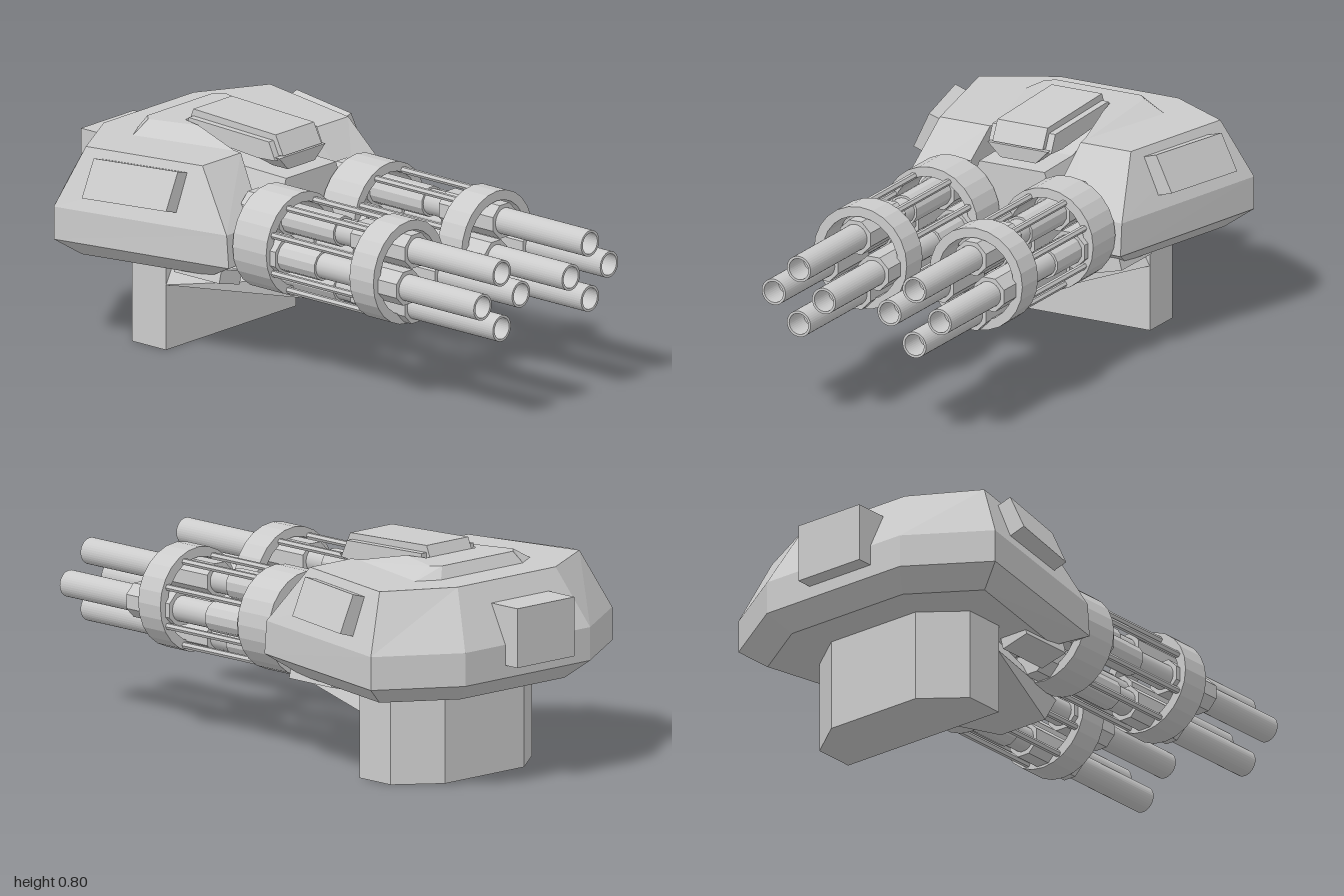
import * as THREE from 'three';

const flat = new THREE.MeshStandardMaterial({ color: 0xcccccc, flatShading: true });
const smooth = new THREE.MeshStandardMaterial({ color: 0xcccccc });

function add(parent, name, geometry, material = flat) {
  const mesh = new THREE.Mesh(geometry, material);
  mesh.name = name;
  parent.add(mesh);
  return mesh;
}

// Area vector of a closed ring of points
function ringNormal(ring) {
  const n = new THREE.Vector3();
  ring.forEach((p, i) => n.add(p.clone().cross(ring[(i + 1) % ring.length])));
  return n;
}

// Closed solid through rings of equal length, capped at both ends
function loft(rings) {
  const r = rings.map(ring => ring.map(p => new THREE.Vector3(...p)));
  const mid = ring => ring.reduce((s, p) => s.add(p), new THREE.Vector3()).divideScalar(ring.length);
  const dir = mid(r[r.length - 1]).sub(mid(r[0]));
  if (ringNormal(r[0]).dot(dir) < 0) r.forEach(ring => ring.reverse());
  const pos = [];
  const tri = (...ps) => ps.forEach(p => pos.push(p.x, p.y, p.z));
  for (let k = 0; k < r.length - 1; k++) {
    const a = r[k], b = r[k + 1];
    a.forEach((p, i) => {
      const j = (i + 1) % a.length;
      tri(p, a[j], b[j]);
      tri(p, b[j], b[i]);
    });
  }
  [[r[0], -1], [r[r.length - 1], 1]].forEach(([ring, side]) => {
    const n = ringNormal(ring).multiplyScalar(side);
    const ax = Math.abs(n.x), ay = Math.abs(n.y), az = Math.abs(n.z);
    const [u, v] = ay >= ax && ay >= az ? ['x', 'z'] : ax >= az ? ['y', 'z'] : ['x', 'y'];
    const faces = THREE.ShapeUtils.triangulateShape(ring.map(p => new THREE.Vector2(p[u], p[v])), []);
    faces.forEach(([a, b, c]) => {
      const t = [ring[a], ring[b], ring[c]];
      if (ringNormal(t).dot(n) < 0) t.reverse();
      tri(...t);
    });
  });
  const g = new THREE.BufferGeometry();
  g.setAttribute('position', new THREE.Float32BufferAttribute(pos, 3));
  g.computeVertexNormals();
  return g;
}

// Horizontal outline at height y, mirrored from its +x half
const outline = (y, half) => [
  ...half.map(([x, z]) => [x, y, z]),
  ...half.map(([x, z]) => [-x, y, z]).reverse(),
];

// Solid cylinder along z from z0 to z1
function rod(parent, name, radius, z0, z1, x, y, sides, material = flat) {
  const g = new THREE.CylinderGeometry(radius, radius, z1 - z0, sides);
  g.rotateX(Math.PI / 2);
  g.rotateZ(Math.PI / sides);
  add(parent, name, g, material).position.set(x, y, (z0 + z1) / 2);
}

// Hollow ring along z from z0 to z1
function hollow(parent, name, outer, inner, z0, z1, x, y, sides, material = flat) {
  const shape = new THREE.Shape();
  shape.absarc(0, 0, outer, 0, Math.PI * 2);
  const hole = new THREE.Path();
  hole.absarc(0, 0, inner, 0, Math.PI * 2, true);
  shape.holes.push(hole);
  const g = new THREE.ExtrudeGeometry(shape, { depth: z1 - z0, bevelEnabled: false, curveSegments: sides });
  add(parent, name, g, material).position.set(x, y, z0);
}

// Four-barrelled rotary gun
function makeGun(side) {
  const gun = new THREE.Group();
  gun.name = side > 0 ? 'leftGun' : 'rightGun';
  gun.position.set(side * 0.23, 0.456, 0);
  hollow(gun, 'frontRing', 0.185, 0.15, 0.46, 0.57, 0, 0.015, 12);
  hollow(gun, 'rearRing', 0.185, 0.15, -0.08, 0.075, 0, 0.015, 12);
  for (let i = 0; i < 4; i++) {
    const x = Math.round(Math.cos(i * Math.PI / 2)) * 0.1;
    const y = Math.round(Math.sin(i * Math.PI / 2)) * 0.1;
    const upright = i % 2 === 1;
    hollow(gun, 'barrel', 0.047, 0.038, 0.5, 1, x, y, 18, smooth);
    rod(gun, 'barrelCore', 0.046, -0.1, 0.9, x, y, 18, smooth);
    rod(gun, 'frontCollar', 0.065, upright ? 0.355 : 0.44, upright ? 0.605 : 0.655, x, y, 8);
    rod(gun, 'rearSleeve', 0.055, -0.12, 0.27, x, y, 12);
    rod(gun, 'rearCollar', 0.07, upright ? -0.15 : -0.1, upright ? 0.03 : 0.1, x, y, 8);
    // Thin tie rods between the two rings
    for (const offset of [-0.35, 0.35]) {
      const a = (i + 0.5) * Math.PI / 2 + offset;
      rod(gun, 'tieRod', 0.012, 0.05, 0.48, Math.cos(a) * 0.163, Math.sin(a) * 0.163 + 0.01, 6);
    }
  }
  return gun;
}

export function createModel() {
  const model = new THREE.Group();
  model.name = 'gunTurret';

  // Faceted hull with a notch in the front of the roof
  const belt = [[0.13, -0.11], [0.24, -0.1], [0.435, -0.09], [0.58, -0.76], [0.3, -0.94]];
  add(model, 'hull', loft([
    outline(0.33, [[0.1, -0.22], [0.2, -0.22], [0.38, -0.21], [0.49, -0.71], [0.25, -0.865]]),
    outline(0.395, belt.map(([x, z]) => [x, z > -0.2 ? z + 0.01 : z])),
    outline(0.513, belt),
    outline(0.72, [[0.12, -0.55], [0.18, -0.25], [0.38, -0.25], [0.48, -0.7], [0.235, -0.835]]),
  ]));

  // Low raised crest around the notch
  add(model, 'roofCrest', loft([
    outline(0.715, [[0.12, -0.55], [0.18, -0.26], [0.285, -0.665], [0.2, -0.715]]),
    outline(0.762, [[0.12, -0.56], [0.14, -0.48], [0.2, -0.66], [0.17, -0.69]]),
  ]));

  // Central nose filling the notch
  const section = (z, topX, topY, baseX, baseY) =>
    [[-baseX, baseY, z], [baseX, baseY, z], [topX, topY, z], [-topX, topY, z]];
  add(model, 'nose', loft([
    section(-0.6, 0.125, 0.745, 0.13, 0.45),
    section(-0.28, 0.13, 0.655, 0.19, 0.45),
    section(-0.085, 0.13, 0.65, 0.2, 0.45),
  ]));

  // Roof hatch: narrow slab with a beaked front over a wider plate
  const across = (profile, halfWidth) =>
    loft([-halfWidth, halfWidth].map(x => profile.map(([z, y]) => [x, y, z])));
  add(model, 'hatchTop', across(
    [[-0.54, 0.8], [-0.16, 0.785], [-0.125, 0.715], [-0.24, 0.71], [-0.565, 0.74]], 0.1));
  add(model, 'hatchPlate', across(
    [[-0.54, 0.775], [-0.17, 0.763], [-0.14, 0.7], [-0.22, 0.695], [-0.54, 0.72]], 0.125));
  add(model, 'hatchChin', loft([
    [[-0.07, 0.66, -0.13], [0.07, 0.66, -0.13], [0.07, 0.66, -0.2], [-0.07, 0.66, -0.2]],
    [[-0.12, 0.71, -0.125], [0.12, 0.71, -0.125], [0.12, 0.71, -0.3], [-0.12, 0.71, -0.3]],
  ]));

  for (const s of [1, -1]) {
    // Sloped armour panel on the hull side
    const end = (z, x) => [
      [s * x, 0.705, z], [s * (x + 0.062), 0.575, z],
      [s * (x - 0.015), 0.552, z], [s * (x - 0.078), 0.682, z],
    ];
    add(model, s > 0 ? 'leftSidePanel' : 'rightSidePanel', loft([end(-0.3, 0.452), end(-0.62, 0.53)]));

    // Small plate below the cheek
    const plate = add(model, 'cheekPlate', new THREE.BoxGeometry(0.11, 0.05, 0.21));
    plate.position.set(s * 0.335, 0.325, -0.265);
    plate.rotation.z = s * 0.25;

    model.add(makeGun(s));
  }

  // Tapered chin reaching forward under the guns
  add(model, 'chin', loft([
    outline(0.235, [[0.1, 0.08], [0.34, -0.46]]),
    outline(0.33, [[0.1, 0.14], [0.29, -0.46]]),
  ]));

  // Pedestal with a chamfered back
  const foot = [[0.34, -0.455], [0.34, -0.61], [0.19, -0.725]];
  add(model, 'pedestal', loft([outline(0, foot), outline(0.36, foot)]));

  // Box at the rear, slightly off centre
  add(model, 'rearBox', new THREE.BoxGeometry(0.275, 0.21, 0.17)).position.set(-0.03, 0.545, -0.915);

  return model;
}
